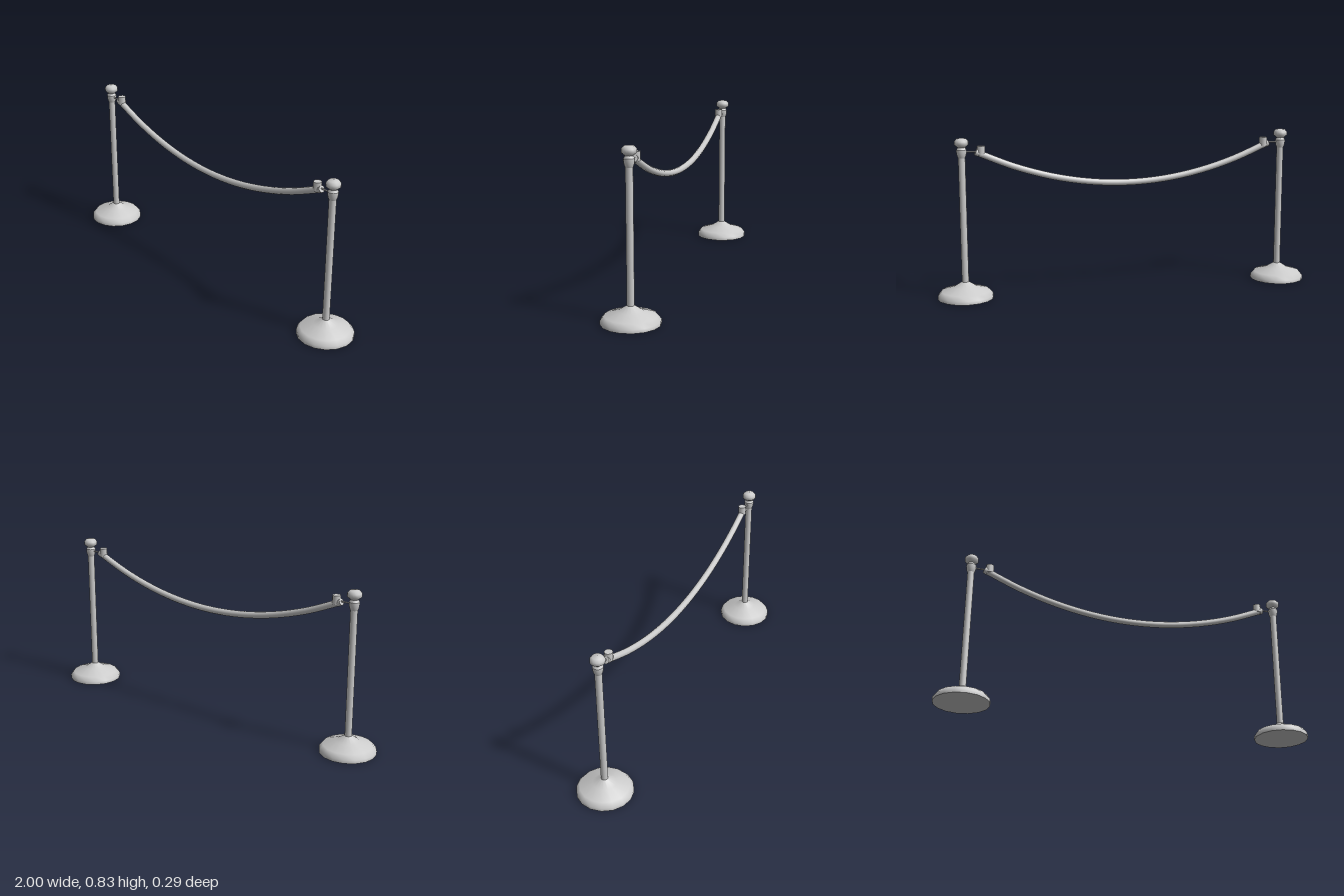
import * as THREE from 'three';

const material = new THREE.MeshStandardMaterial({ color: 0xcccccc, side: THREE.DoubleSide });
const POST_X = 0.857;

function add(parent, name, geometry, x = 0, y = 0, z = 0) {
  const mesh = new THREE.Mesh(geometry, material);
  mesh.name = name;
  mesh.position.set(x, y, z);
  parent.add(mesh);
  return mesh;
}

// Turned part from [radius, height] pairs; crisp edges come from separate bands
function turned(parent, name, ...bands) {
  for (const band of bands) {
    const points = band.map(([r, y]) => new THREE.Vector2(r, y));
    add(parent, name, new THREE.LatheGeometry(points, 16));
  }
}

function createPost(side) {
  const post = new THREE.Group();
  post.name = side > 0 ? 'leftPost' : 'rightPost';
  post.position.x = side * POST_X;

  // Weighted foot with flat underside
  turned(post, 'base',
    [[0, 0], [0.143, 0]],
    [[0.143, 0], [0.143, 0.018], [0.125, 0.04], [0.06, 0.06], [0.018, 0.087]]);

  turned(post, 'pole', [[0.018, 0.085], [0.018, 0.735]]);

  // Collar where the rope hooks on
  turned(post, 'collar',
    [[0.018, 0.73], [0.023, 0.742], [0.026, 0.76], [0.026, 0.771]],
    [[0.026, 0.771], [0.021, 0.778], [0.018, 0.786]]);

  // Flattened ball on top
  turned(post, 'knob',
    [[0.018, 0.782], [0.024, 0.787], [0.036, 0.797], [0.036, 0.814], [0.025, 0.827], [0, 0.831]]);

  // Thin hook reaching toward the rope
  const hook = add(post, 'hook', new THREE.CylinderGeometry(0.004, 0.004, 0.075, 8), -side * 0.05, 0.76);
  hook.rotation.z = Math.PI / 2;
  return post;
}

export function createModel() {
  const model = new THREE.Group();
  model.name = 'ropeBarrier';

  // Sagging rope, a shallow parabola
  const path = [];
  for (let i = 0; i <= 8; i++) {
    const t = i / 4 - 1;
    path.push(new THREE.Vector3(t * 0.785, 0.572 + 0.185 * t * t, 0));
  }
  const curve = new THREE.CatmullRomCurve3(path);
  add(model, 'rope', new THREE.TubeGeometry(curve, 32, 0.017, 10));

  for (const side of [1, -1]) {
    model.add(createPost(side));

    // Rope end cap
    const cap = add(model, 'ropeEnd', new THREE.CylinderGeometry(0.018, 0.018, 0.02, 10), side * 0.778, 0.754);
    cap.rotation.z = -side * (Math.PI / 2 - 0.44);

    // Upright clip on the rope end
    add(model, 'clip', new THREE.CylinderGeometry(0.021, 0.021, 0.045, 10), side * 0.759, 0.765);
  }
  return model;
}
